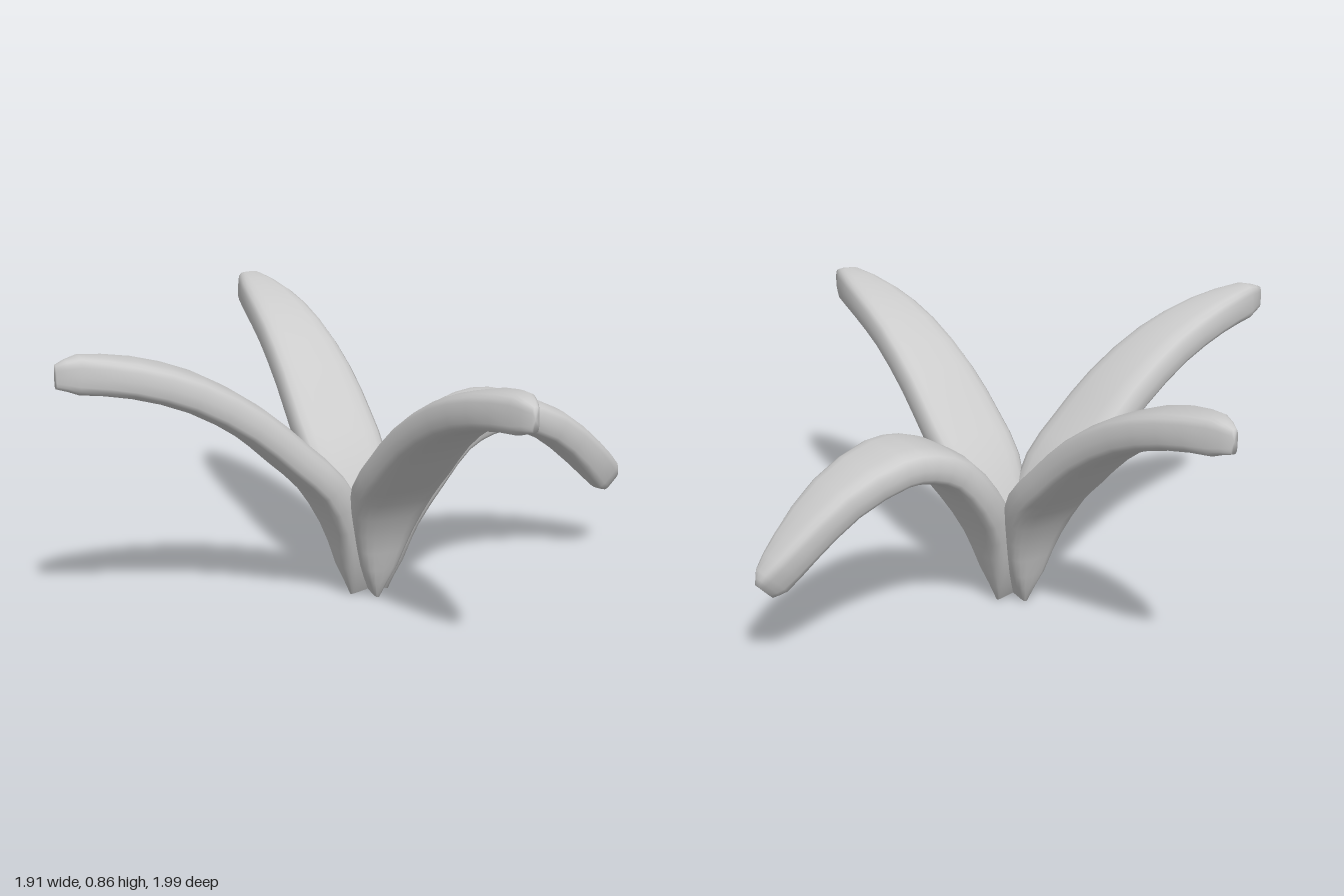
import * as THREE from 'three';

const SIDES = 20;

// Stations along a leaf: [distance from the stem, height, half width]
const base = [[0.03, 0.012, 0.008], [0.05, 0.12, 0.06], [0.09, 0.25, 0.1], [0.17, 0.388, 0.134]];
const rising = [...base, [0.275, 0.49, 0.137], [0.41, 0.61, 0.128], [0.59, 0.72, 0.11],
  [0.77, 0.782, 0.085], [0.93, 0.807, 0.045], [0.995, 0.807, 0.012]];
const drooping = [...base, [0.265, 0.497, 0.137], [0.365, 0.542, 0.134], [0.46, 0.546, 0.127],
  [0.635, 0.478, 0.105], [0.78, 0.36, 0.073], [0.86, 0.277, 0.038], [0.887, 0.25, 0.012]];

// Rounded-rectangle section swept along the stations, closed at both ends
function leafGeometry(stations) {
  const curve = new THREE.CatmullRomCurve3(stations.map(s => new THREE.Vector3(...s)), false, 'centripetal');
  const rings = (stations.length - 1) * 2;
  const round = v => Math.sign(v) * Math.abs(v) ** 0.6;
  const pos = [], index = [];

  for (let i = 0; i <= rings; i++) {
    const t = i / rings;
    const p = curve.getPoint(t), d = curve.getTangent(t);
    const len = Math.hypot(d.x, d.y);
    const nx = -d.y / len, ny = d.x / len;
    const half = 0.036 + 0.021 * Math.min(1, 9 * Math.min(t, 1 - t));
    for (let j = 0; j < SIDES; j++) {
      const a = (j / SIDES) * Math.PI * 2;
      const h = round(Math.sin(a)) * half;
      pos.push(p.x + nx * h, p.y + ny * h, round(Math.cos(a)) * p.z);
    }
  }
  for (let i = 0; i < rings; i++) {
    for (let j = 0; j < SIDES; j++) {
      const k = (j + 1) % SIDES;
      const a = i * SIDES + j, b = i * SIDES + k;
      index.push(a, a + SIDES, b, b, a + SIDES, b + SIDES);
    }
  }
  // End caps
  const first = pos.length / 3, last = first + 1, end = rings * SIDES;
  const p0 = curve.getPoint(0), p1 = curve.getPoint(1);
  pos.push(p0.x, p0.y, 0, p1.x, p1.y, 0);
  for (let j = 0; j < SIDES; j++) {
    const k = (j + 1) % SIDES;
    index.push(first, j, k, last, end + k, end + j);
  }

  const geo = new THREE.BufferGeometry();
  geo.setAttribute('position', new THREE.Float32BufferAttribute(pos, 3));
  geo.setIndex(index);
  geo.computeVertexNormals();
  return geo;
}

export function createModel() {
  const plant = new THREE.Group();
  plant.name = 'plant';
  const material = new THREE.MeshStandardMaterial({ color: 0xcccccc });
  const risingGeo = leafGeometry(rising);

  // Four leaves around the stem, one of them drooping
  const leaves = [
    ['leftDroopingLeaf', leafGeometry(drooping), 0],
    ['backLeaf', risingGeo, Math.PI / 2],
    ['rightLeaf', risingGeo, Math.PI],
    ['frontLeaf', risingGeo, -Math.PI / 2],
  ];
  for (const [name, geo, turn] of leaves) {
    const leaf = new THREE.Mesh(geo, material);
    leaf.name = name;
    leaf.position.x = 0.04;
    leaf.rotation.y = turn;
    plant.add(leaf);
  }
  return plant;
}
